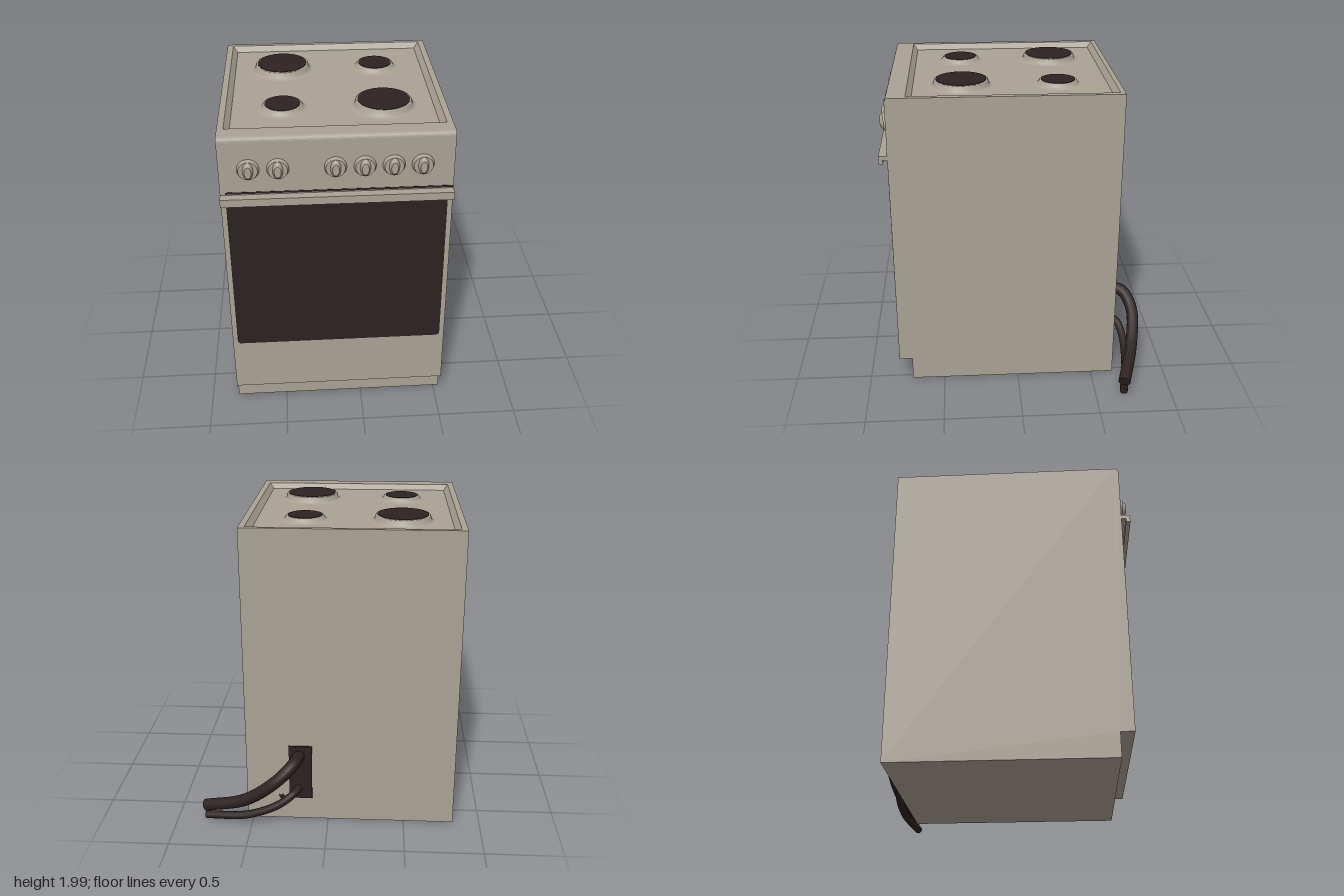
import * as THREE from 'three';

const enamel = new THREE.MeshStandardMaterial({ color: 0xaaa294 });
enamel.name = 'warm grey enamel';
const dark = new THREE.MeshStandardMaterial({ color: 0x2c2221 });
dark.name = 'dark brown';

const X0 = -0.825, X1 = 0.535, RIM = 1.99, FLOOR = 1.955;

function add(parent, name, geometry, material, x = 0, y = 0, z = 0) {
  const mesh = new THREE.Mesh(geometry, material);
  mesh.name = name;
  mesh.position.set(x, y, z);
  parent.add(mesh);
  return mesh;
}

const box = (w, h, d) => new THREE.BoxGeometry(w, h, d);

// Extrudes a side profile, drawn in (-z, y), from x0 to x1
function acrossX(shape, x0, x1) {
  const g = new THREE.ExtrudeGeometry(shape, { depth: x1 - x0, bevelEnabled: false, curveSegments: 8 });
  return g.rotateY(Math.PI / 2).translate(x0, 0, 0);
}

// Cabinet side profile with toe kick and rounded top front edge
function cabinetProfile(recessed) {
  const s = new THREE.Shape();
  s.moveTo(0.65, 0.01);
  s.lineTo(0.65, RIM);
  if (recessed) {
    s.lineTo(0.62, RIM);
    s.lineTo(0.59, FLOOR);
    s.lineTo(-0.645, FLOOR);
    s.lineTo(-0.675, RIM);
  }
  s.lineTo(-0.77, RIM);
  s.quadraticCurveTo(-0.8, RIM, -0.8, 1.96);
  s.lineTo(-0.8, 0.165);
  s.lineTo(-0.715, 0.165);
  s.lineTo(-0.715, 0.01);
  s.closePath();
  return s;
}

function makeCabinet() {
  const g = new THREE.Group();
  g.name = 'cabinet';
  add(g, 'cabinetCore', acrossX(cabinetProfile(true), -0.787, 0.497), enamel);
  add(g, 'rightWall', acrossX(cabinetProfile(false), X0, -0.787), enamel);
  add(g, 'leftWall', acrossX(cabinetProfile(false), 0.497, X1), enamel);
  // Sloped sides of the hob tray
  for (const [x, dir, name] of [[-0.787, 1, 'rightTraySlope'], [0.497, -1, 'leftTraySlope']]) {
    const s = new THREE.Shape([
      new THREE.Vector2(x, FLOOR - 0.005),
      new THREE.Vector2(x + dir * 0.03, FLOOR - 0.005),
      new THREE.Vector2(x + dir * 0.03, FLOOR),
      new THREE.Vector2(x, RIM),
    ]);
    const slope = new THREE.ExtrudeGeometry(s, { depth: 1.295, bevelEnabled: false });
    add(g, name, slope.translate(0, 0, -0.62), enamel);
  }
  return g;
}

// Raised ring with a flared foot and a dark hotplate
function makeBurner(x, z, r, top) {
  const g = new THREE.Group();
  g.name = 'burner';
  g.position.set(x, 0, z);
  const foot = [[r + 0.035, FLOOR], [r + 0.02, FLOOR + 0.003], [r + 0.008, FLOOR + 0.011], [r, top - 0.008], [r - 0.004, top - 0.003], [0, top - 0.003]];
  add(g, 'burnerRing', new THREE.LatheGeometry(foot.map(p => new THREE.Vector2(...p)), 32), enamel);
  add(g, 'hotplate', new THREE.CylinderGeometry(r - 0.012, r - 0.012, 0.008, 32), dark, 0, top - 0.004, 0);
  return g;
}

// Round dial with a tapered vertical grip
function makeKnob(x) {
  const g = new THREE.Group();
  g.name = 'knob';
  g.position.set(x, 1.79, 0.8);
  add(g, 'knobDial', new THREE.CylinderGeometry(0.056, 0.065, 0.024, 28).rotateX(Math.PI / 2), enamel, 0, 0, 0.012);
  const grip = new THREE.CylinderGeometry(0.02, 0.032, 0.025, 16).rotateX(Math.PI / 2).scale(1, 1.8, 1);
  add(g, 'knobGrip', grip, enamel, 0, 0, 0.034);
  return g;
}

function makeDoor() {
  const g = new THREE.Group();
  g.name = 'ovenDoor';
  // Window with clipped lower corners
  const w = new THREE.Shape([[-0.78, 0.525], [0.49, 0.525], [0.505, 0.54], [0.505, 1.565], [-0.795, 1.565], [-0.795, 0.54]]
    .map(p => new THREE.Vector2(...p)));
  add(g, 'ovenWindow', new THREE.ExtrudeGeometry(w, { depth: 0.004, bevelEnabled: false }), dark, 0, 0, 0.799);
  // Full-width handle with a hooked cross-section
  const h = new THREE.Shape([[-0.79, 1.6], [-0.79, 1.625], [-0.855, 1.625], [-0.855, 1.575], [-0.828, 1.575], [-0.828, 1.6]]
    .map(p => new THREE.Vector2(...p)).reverse());
  add(g, 'doorHandle', acrossX(h, X0, X1), enamel);
  // Gap between the door and the control panel
  add(g, 'doorGap', box(1.33, 0.012, 0.004), dark, -0.13, 1.637, 0.8);
  return g;
}

function makeHose(name, points, radius) {
  const g = new THREE.Group();
  g.name = name;
  const path = new THREE.CatmullRomCurve3(points.map(p => new THREE.Vector3(...p)));
  add(g, name + 'Tube', new THREE.TubeGeometry(path, 32, radius, 12), dark);
  // Closed free end
  const cap = add(g, name + 'Cap', new THREE.CircleGeometry(radius, 12), dark);
  cap.position.copy(path.getPoint(1));
  cap.quaternion.setFromUnitVectors(new THREE.Vector3(0, 0, 1), path.getTangent(1));
  return g;
}

function makeConnection() {
  const g = new THREE.Group();
  g.name = 'rearConnection';
  add(g, 'connectionPlate', box(0.15, 0.38, 0.014), dark, 0.18, 0.36, -0.655);
  g.add(makeHose('largeHose', [[0.19, 0.48, -0.65], [0.22, 0.465, -0.75], [0.32, 0.375, -0.805], [0.53, 0.215, -0.775], [0.81, 0.11, -0.685]], 0.04));
  g.add(makeHose('smallHose', [[0.19, 0.245, -0.65], [0.23, 0.225, -0.72], [0.33, 0.16, -0.75], [0.53, 0.08, -0.74], [0.81, 0.037, -0.685]], 0.026));
  // Small hanging loop beside the plate
  const loop = new THREE.TorusGeometry(0.035, 0.014, 8, 14, Math.PI).rotateZ(Math.PI);
  add(g, 'cableLoop', loop, dark, 0.275, 0.2, -0.665);
  return g;
}

export function createModel() {
  const model = new THREE.Group();
  model.name = 'cooker';
  model.add(makeCabinet(), makeDoor(), makeConnection());
  for (const x of [-0.655, -0.485, -0.155, 0.015, 0.182, 0.35]) model.add(makeKnob(x));
  model.add(
    makeBurner(-0.45, -0.275, 0.172, 2.0),
    makeBurner(0.163, 0.34, 0.172, 2.0),
    makeBurner(0.163, -0.275, 0.12, 1.988),
    makeBurner(-0.45, 0.34, 0.12, 1.988),
  );
  return model;
}
